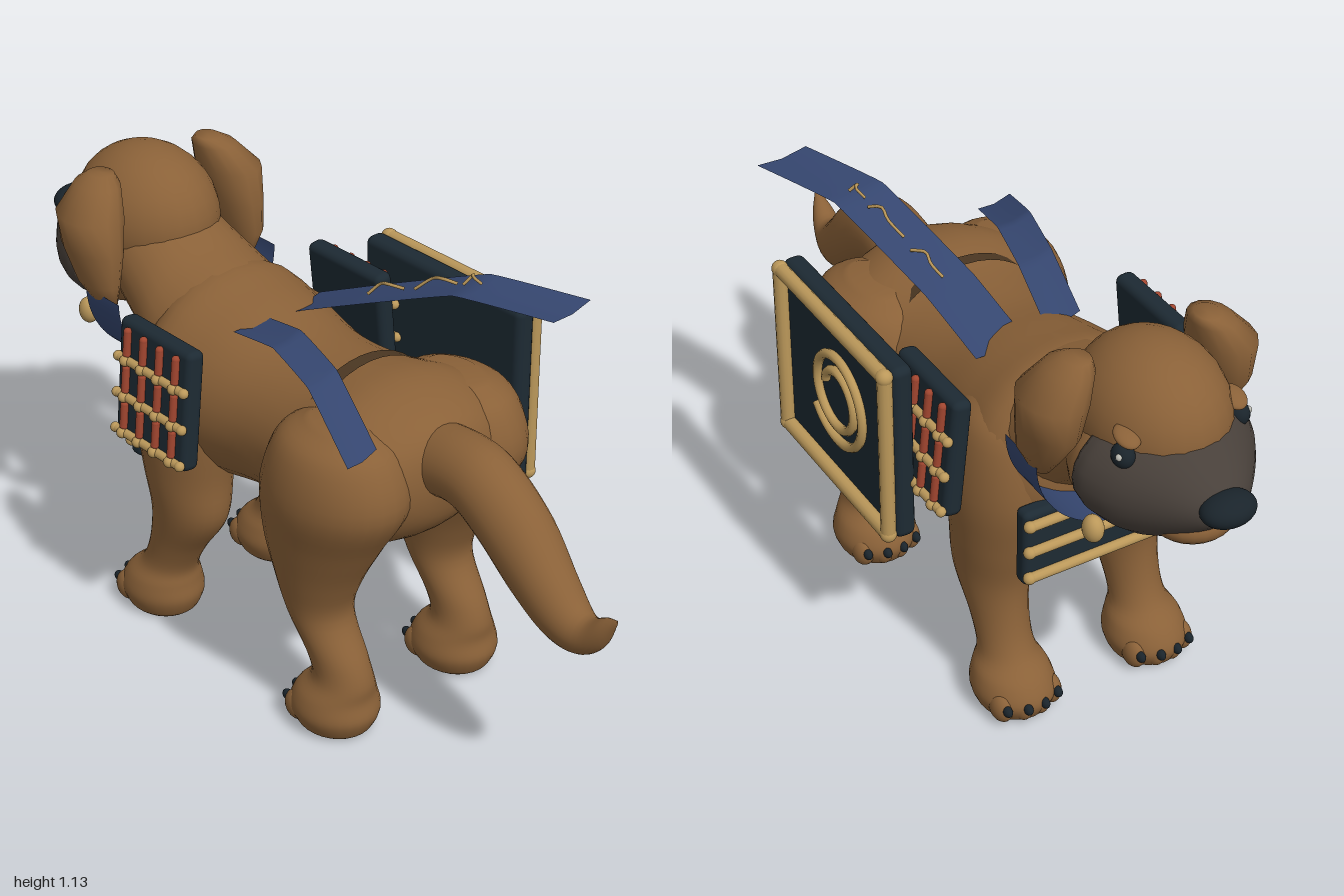
import * as THREE from 'three';
import { RoundedBoxGeometry } from 'three/addons/geometries/RoundedBoxGeometry.js';

const CX = -0.04; // the dog's own centre line; it faces -z

const mat = (name, color, side = THREE.FrontSide) => {
  const m = new THREE.MeshStandardMaterial({ color, side });
  m.name = name;
  return m;
};

// Smooth skin through elliptical sections [x, y, z, radiusX, radiusOther].
// Rings lie in the xy plane (sections by rising z) or the xz plane (by falling y).
function loft(sections, plane = 'xy', steps = 5, sides = 28) {
  const centre = new THREE.CatmullRomCurve3(sections.map(s => new THREE.Vector3(s[0], s[1], s[2])), false, 'catmullrom');
  const radii = new THREE.CatmullRomCurve3(sections.map(s => new THREE.Vector3(s[3], s[4], 0)), false, 'catmullrom');
  const rows = (sections.length - 1) * steps, pos = [], idx = [];
  for (let i = 0; i <= rows; i++) {
    const c = centre.getPoint(i / rows), r = radii.getPoint(i / rows);
    for (let j = 0; j < sides; j++) {
      const a = (j / sides) * Math.PI * 2;
      const u = Math.cos(a) * Math.max(r.x, 0.002), v = Math.sin(a) * Math.max(r.y, 0.002);
      pos.push(c.x + u, c.y + (plane === 'xy' ? v : 0), c.z + (plane === 'xy' ? 0 : v));
      if (i < rows) {
        const p = i * sides + j, q = i * sides + (j + 1) % sides;
        idx.push(p, q, p + sides, q, q + sides, p + sides);
      }
    }
  }
  // end caps
  [[0, sections[0]], [rows, sections[sections.length - 1]]].forEach(([i, s]) => {
    const n = pos.length / 3;
    pos.push(s[0], s[1], s[2]);
    for (let j = 0; j < sides; j++) {
      const p = i * sides + j, q = i * sides + (j + 1) % sides;
      if (i === 0) idx.push(n, q, p); else idx.push(n, p, q);
    }
  });
  const g = new THREE.BufferGeometry();
  g.setAttribute('position', new THREE.Float32BufferAttribute(pos, 3));
  g.setIndex(idx);
  g.computeVertexNormals();
  return g;
}

export function createModel() {
  const root = new THREE.Group();
  const brown = mat('brown fur', 0x8a6138);
  const mask = mat('dark mask fur', 0x48403a);
  const plate = mat('dark plate', 0x1d2a33);
  const gold = mat('gold trim', 0xbb985a);
  const red = mat('red lacing', 0xa0452f);
  const navy = mat('navy cloth', 0x35466f, THREE.DoubleSide);
  const black = mat('black', 0x1a242b);
  const leather = mat('dark leather', 0x4b3722, THREE.DoubleSide);
  const pale = mat('pale glint', 0xb8b8b0);

  const add = (name, geo, m, parent = root) => {
    const mesh = new THREE.Mesh(geo, m);
    mesh.name = name;
    parent.add(mesh);
    return mesh;
  };
  const ball = (name, m, x, y, z, rx, ry, rz, parent = root) => {
    const b = add(name, new THREE.SphereGeometry(1, 24, 16), m, parent);
    b.position.set(x, y, z);
    b.scale.set(rx, ry, rz);
    return b;
  };
  // rod with knobs, lying along one axis
  const rod = (name, m, x, y, z, len, r, axis, parent, knob = 1.15) => {
    const g = new THREE.Group();
    g.name = name;
    add('bar', new THREE.CylinderGeometry(r, r, len, 12), m, g);
    for (const s of [-1, 1]) ball('knob', m, 0, s * len / 2, 0, r * knob, r * knob, r * knob, g);
    if (axis === 'x') g.rotation.z = Math.PI / 2;
    if (axis === 'z') g.rotation.x = Math.PI / 2;
    g.position.set(x, y, z);
    parent.add(g);
  };

  // body, neck and tail
  add('torso', loft([
    [CX, 0.64, -0.475, 0.01, 0.01], [CX, 0.65, -0.45, 0.17, 0.16], [CX, 0.67, -0.36, 0.255, 0.245],
    [CX, 0.655, -0.22, 0.25, 0.24], [CX, 0.65, -0.05, 0.225, 0.205], [CX, 0.65, 0.1, 0.24, 0.2],
    [CX, 0.66, 0.25, 0.295, 0.205], [CX, 0.67, 0.36, 0.25, 0.17], [CX, 0.68, 0.43, 0.15, 0.11], [CX, 0.68, 0.46, 0.01, 0.01],
  ]), brown);
  add('neck', loft([
    [CX, 0.9, -0.64, 0.15, 0.15], [CX, 0.82, -0.5, 0.175, 0.165], [CX, 0.755, -0.4, 0.2, 0.185],
    [CX, 0.695, -0.27, 0.205, 0.205], [CX, 0.66, -0.12, 0.15, 0.16],
  ]), brown);
  add('tail', loft([
    [CX, 0.71, 0.36, 0.09, 0.09], [-0.05, 0.735, 0.5, 0.085, 0.085], [-0.055, 0.705, 0.6, 0.085, 0.1],
    [-0.06, 0.62, 0.72, 0.08, 0.11], [-0.07, 0.545, 0.82, 0.065, 0.085], [-0.075, 0.51, 0.9, 0.045, 0.05],
    [-0.08, 0.545, 0.96, 0.028, 0.04], [-0.085, 0.595, 1.0, 0.003, 0.006],
  ]), brown);

  // head
  ball('skull', brown, CX, 0.955, -0.655, 0.168, 0.175, 0.2);
  add('cheeks', loft([
    [CX, 0.865, -0.695, 0.212, 0.145], [CX, 0.865, -0.64, 0.2, 0.145], [CX, 0.87, -0.56, 0.15, 0.12], [CX, 0.87, -0.5, 0.05, 0.05],
  ]), brown);
  add('faceMask', loft([
    [CX, 0.87, -0.945, 0.02, 0.02], [CX, 0.867, -0.925, 0.07, 0.052], [CX, 0.863, -0.87, 0.125, 0.1],
    [CX, 0.86, -0.79, 0.185, 0.144], [CX, 0.863, -0.72, 0.214, 0.152], [CX, 0.865, -0.68, 0.214, 0.147],
  ]), mask);
  ball('chin', brown, CX, 0.79, -0.825, 0.1, 0.055, 0.095);
  ball('mouth', black, CX, 0.825, -0.905, 0.055, 0.01, 0.02);
  ball('nose', black, CX, 0.88, -0.95, 0.066, 0.037, 0.05);

  for (const s of [-1, 1]) {
    const X = d => CX + s * d;
    // eyes, brows, ears and beads
    ball('eye', black, X(0.146), 0.957, -0.77, 0.025, 0.028, 0.03);
    ball('eyeGlint', pale, X(0.164), 0.966, -0.782, 0.008, 0.008, 0.008);
    const brow = ball('brow', brown, X(0.135), 1.0, -0.765, 0.028, 0.013, 0.036);
    brow.rotation.x = -0.3;
    add('ear', loft([
      [X(0.165), 1.12, -0.615, 0.03, 0.035], [X(0.18), 1.1, -0.61, 0.05, 0.065], [X(0.215), 1.035, -0.6, 0.076, 0.095],
      [X(0.22), 0.95, -0.59, 0.06, 0.097], [X(0.225), 0.87, -0.565, 0.042, 0.07], [X(0.215), 0.81, -0.55, 0.02, 0.035],
    ], 'xz', 1, 14), brown);
    ball('bead', gold, X(0.165), 0.715, -0.695, 0.024, 0.034, 0.028);

    // legs flaring into flat-soled paws
    add('hindLeg', loft([
      [X(0.18), 0.82, 0.26, 0.05, 0.08], [X(0.18), 0.77, 0.26, 0.125, 0.16], [X(0.185), 0.65, 0.255, 0.15, 0.2],
      [X(0.19), 0.52, 0.22, 0.125, 0.165], [X(0.193), 0.4, 0.205, 0.098, 0.115], [X(0.193), 0.3, 0.21, 0.078, 0.083],
      [X(0.193), 0.2, 0.27, 0.066, 0.08], [X(0.193), 0.145, 0.29, 0.07, 0.08], [X(0.195), 0.1, 0.27, 0.094, 0.1],
      [X(0.195), 0.055, 0.265, 0.104, 0.115], [X(0.195), 0.015, 0.265, 0.09, 0.1], [X(0.195), 0, 0.265, 0.075, 0.085],
    ], 'xz'), brown);
    add('frontLeg', loft([
      [X(0.15), 0.82, -0.3, 0.04, 0.05], [X(0.16), 0.76, -0.3, 0.095, 0.12], [X(0.17), 0.6, -0.305, 0.112, 0.145],
      [X(0.175), 0.45, -0.3, 0.1, 0.128], [X(0.18), 0.33, -0.292, 0.083, 0.112], [X(0.183), 0.22, -0.335, 0.068, 0.08],
      [X(0.185), 0.145, -0.37, 0.068, 0.075], [X(0.187), 0.1, -0.395, 0.09, 0.1],
      [X(0.187), 0.055, -0.405, 0.1, 0.115], [X(0.187), 0.015, -0.405, 0.088, 0.1], [X(0.187), 0, -0.405, 0.075, 0.085],
    ], 'xz'), brown);

    // toes and claws
    for (const [off, z] of [[0.195, 0.265], [0.187, -0.405]]) {
      for (let k = 0; k < 4; k++) {
        const d = k - 1.5, tz = z - 0.105 + Math.abs(d) * 0.018;
        ball('toe', brown, X(off) + d * 0.044, 0.045, tz + 0.02, 0.027, 0.04, 0.038);
        ball('claw', black, X(off) + d * 0.046, 0.055, tz - 0.014, 0.011, 0.014, 0.016);
      }
    }

    // laced shoulder guard
    const guard = new THREE.Group();
    guard.name = 'shoulderGuard';
    guard.position.set(X(0.306), 0.73, -0.232);
    guard.rotation.z = s * 0.1;
    root.add(guard);
    add('guardPlate', new RoundedBoxGeometry(0.05, 0.31, 0.265, 2, 0.018), plate, guard);
    for (let row = 0; row < 3; row++) {
      const y = 0.055 - row * 0.095;
      rod('guardBar', gold, s * 0.03, y, 0, 0.245, 0.011, 'z', guard);
      for (let c = 0; c < 4; c++) {
        rod('lace', red, s * 0.031, y + 0.046, (c - 1.5) * 0.06, 0.058, 0.01, 'y', guard, 1);
        ball('laceKnob', gold, s * 0.035, y, (c - 1.5) * 0.06, 0.014, 0.014, 0.014, guard);
      }
    }
  }

  // neck cloth slung under the throat
  const cloth = add('neckCloth', new THREE.CylinderGeometry(1, 1, 0.13, 36, 1, true, -Math.PI / 2, Math.PI), navy);
  cloth.geometry.rotateX(Math.PI / 2);
  cloth.geometry.scale(0.245, 0.235, 1);
  cloth.position.set(CX, 0.848, -0.525);

  // chest guard
  add('chestPlate', new RoundedBoxGeometry(0.42, 0.21, 0.045, 2, 0.015), plate).position.set(CX, 0.515, -0.467);
  for (const y of [0.44, 0.515, 0.59]) rod('chestBar', gold, CX, y, -0.495, 0.4, 0.013, 'x', root);

  // body straps, mostly sunk in the fur
  for (const [y, z, ry] of [[0.655, 0.15, 0.213], [0.66, -0.34, 0.257]]) {
    const strap = add('strap', new THREE.CylinderGeometry(1, 1, 0.035, 40, 1, true).rotateX(Math.PI / 2).scale(0.225, ry, 1), leather);
    strap.position.set(CX, y, z);
  }

  // side panel with frame and spiral, on the dog's +x flank
  add('sidePanel', new RoundedBoxGeometry(0.055, 0.48, 0.54, 2, 0.02), plate).position.set(0.331, 0.685, 0.035);
  for (const y of [0.462, 0.908]) rod('frameBar', gold, 0.371, y, 0.035, 0.5, 0.018, 'z', root, 1.1);
  for (const z of [-0.217, 0.287]) rod('frameBar', gold, 0.371, 0.685, z, 0.446, 0.018, 'y', root, 1.1);
  const spiral = [];
  for (let i = 0; i <= 44; i++) {
    const t = i / 44, a = 0.3 + t * Math.PI * 3.7, r = 0.06 + 0.075 * t;
    spiral.push(new THREE.Vector3(0.366, 0.7 + r * Math.sin(a), 0.025 + r * Math.cos(a)));
  }
  add('spiral', new THREE.TubeGeometry(new THREE.CatmullRomCurve3(spiral), 110, 0.012, 8), gold);

  // cloth streamers with crisp folds: path points [x, y, z] and half width
  const streamer = (path, half) => {
    const curve = new THREE.CatmullRomCurve3(path.map(p => new THREE.Vector3(...p)), false, 'catmullrom', 0.1);
    const g = new THREE.PlaneGeometry(1, 1, 2, 18), p = g.attributes.position;
    for (let i = 0; i < p.count; i++) {
      const c = curve.getPoint(0.5 - p.getY(i)), u = p.getX(i) * 2;
      p.setXYZ(i, c.x + u * half, c.y - 0.008 * (1 - Math.abs(u)), c.z - u * 0.01);
    }
    g.computeVertexNormals();
    add('streamer', g, navy);
    return curve;
  };
  streamer([[-0.125, 0.86, -0.17], [-0.165, 0.91, 0.02], [-0.215, 0.9, 0.2], [-0.285, 0.815, 0.41]], 0.052);
  const long = streamer([[0.05, 0.85, -0.18], [0.08, 0.93, 0.0], [0.155, 1.045, 0.29], [0.235, 1.045, 0.53]], 0.07);

  // small loose stitches on the long streamer
  for (const t of [0.38, 0.5, 0.62]) {
    const pts = [0, 0.03, 0.06, 0.09].map((d, i) => {
      const c = long.getPoint(t + d);
      return new THREE.Vector3(c.x + (i % 2) * 0.012, c.y + (i === 1 || i === 2 ? 0.022 : 0.002), c.z);
    });
    add('stitch', new THREE.TubeGeometry(new THREE.CatmullRomCurve3(pts), 10, 0.004, 6), gold);
  }
  return root;
}
